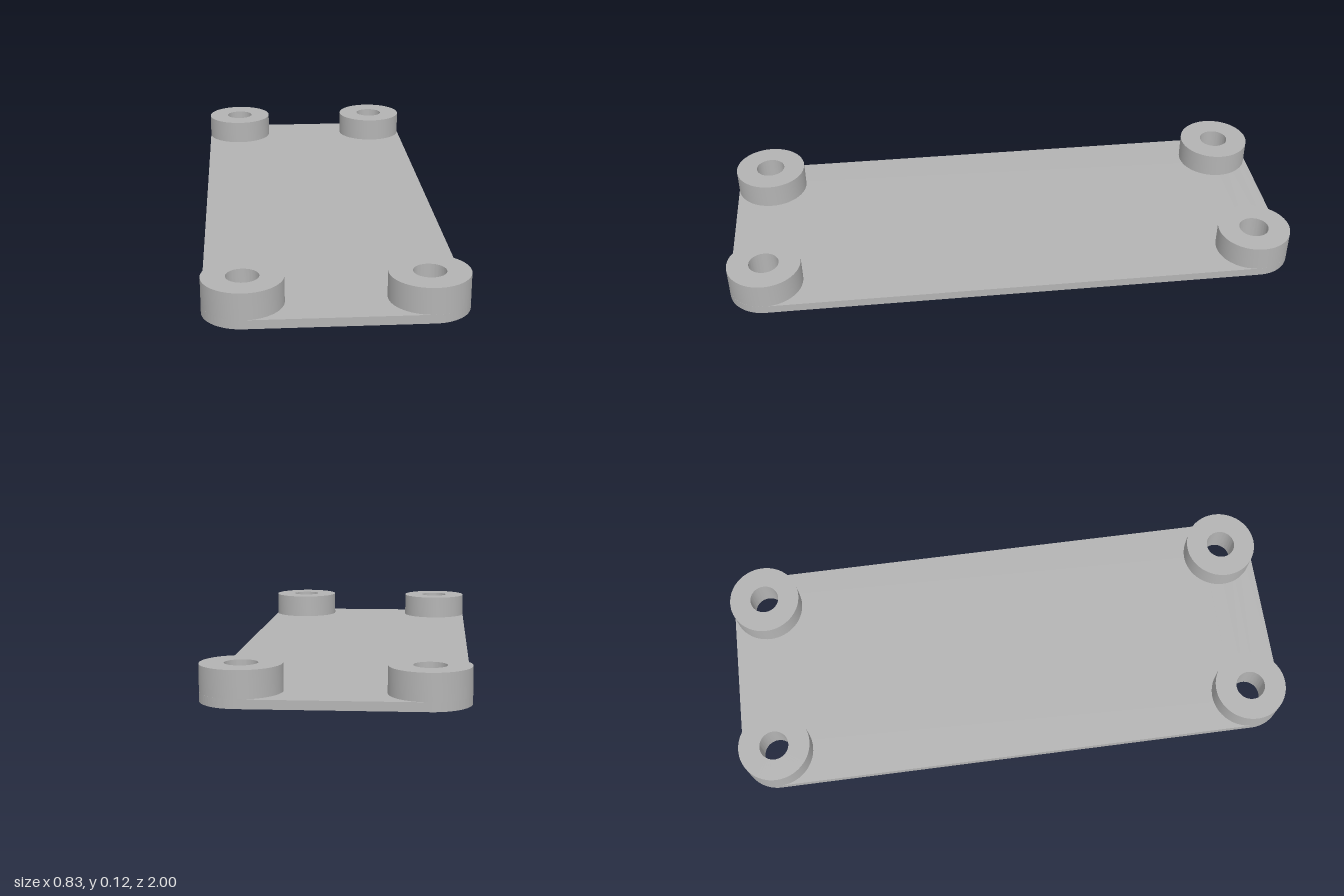
import * as THREE from 'three';
import { toCreasedNormals } from 'three/addons/utils/BufferGeometryUtils.js';

const HALF_W = 0.414, HALF_L = 1;      // plate half sizes
const R = 0.128, HOLE = 0.052;         // boss / corner radius and bore radius
const PLATE_H = 0.029, TOP = 0.116;    // plate thickness and overall height
const CX = HALF_W - R, CZ = HALF_L - R; // boss centres

export function createModel() {
  const grey = new THREE.MeshStandardMaterial({ color: 0xb3b3b3 });
  grey.name = 'grey';
  const group = new THREE.Group();
  group.name = 'mountingPlate';

  const add = (geometry, name) => {
    const mesh = new THREE.Mesh(toCreasedNormals(geometry, 0.5), grey);
    mesh.name = name;
    group.add(mesh);
    return mesh;
  };
  const corners = [[1, 1], [-1, 1], [-1, -1], [1, -1]];

  // Base plate: rounded rectangle with a bore in each corner
  const outline = new THREE.Shape();
  corners.forEach(([sx, sy], i) => {
    outline.absarc(sx * CX, sy * CZ, R, i * Math.PI / 2, (i + 1) * Math.PI / 2, false);
    const bore = new THREE.Path();
    bore.absarc(sx * CX, sy * CZ, HOLE, 0, Math.PI * 2, true);
    outline.holes.push(bore);
  });
  outline.closePath();
  const plate = new THREE.ExtrudeGeometry(outline, { depth: PLATE_H, bevelEnabled: false, curveSegments: 32 });
  plate.rotateX(-Math.PI / 2);
  add(plate, 'basePlate');

  // Hollow bosses standing on the plate, open where they join it
  const profile = [[R, PLATE_H], [R, TOP], [HOLE, TOP], [HOLE, PLATE_H]]
    .map(([x, y]) => new THREE.Vector2(x, y));
  const names = ['frontLeftBoss', 'frontRightBoss', 'backRightBoss', 'backLeftBoss'];
  corners.forEach(([sx, sz], i) => {
    add(new THREE.LatheGeometry(profile, 64), names[i]).position.set(sx * CX, 0, sz * CZ);
  });

  return group;
}
